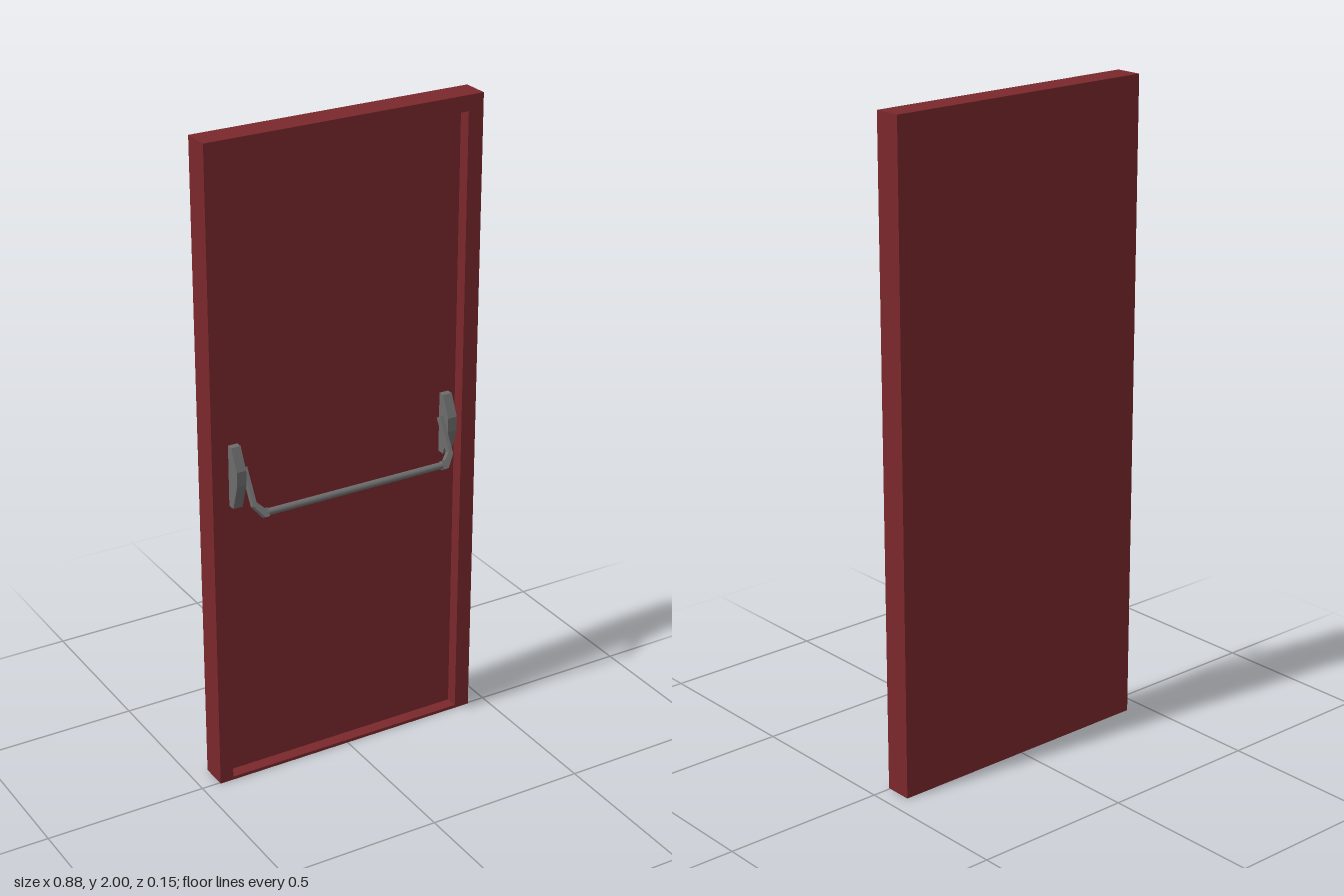
import * as THREE from 'three';

const RED = new THREE.MeshStandardMaterial({ color: 0x7a282c });
const STEEL = new THREE.MeshStandardMaterial({ color: 0x6c6c6c });
const CX = -0.003; // the opening sits slightly off the centre of the frame
const FACE = -0.03; // front plane of the door leaf

function add(parent, name, geometry, material, x = 0, y = 0, z = 0) {
  const mesh = new THREE.Mesh(geometry, material);
  mesh.name = name;
  mesh.position.set(x, y, z);
  parent.add(mesh);
  return mesh;
}

function polygon(points) {
  return new THREE.Shape(points.map(([x, y]) => new THREE.Vector2(x, y)));
}

function extrude(shape, depth) {
  return new THREE.ExtrudeGeometry(shape, { depth, bevelEnabled: false });
}

export function createModel() {
  const model = new THREE.Group();
  model.name = 'fireDoor';

  // Frame with its opening, closed behind by a back panel
  const outline = polygon([[-0.441, 0], [0.441, 0], [0.441, 2], [-0.441, 2]]);
  outline.holes.push(polygon([
    [CX - 0.395, 0.01], [CX - 0.395, 1.953], [CX + 0.395, 1.953], [CX + 0.395, 0.01],
  ]));
  add(model, 'frame', extrude(outline, 0.045), RED, 0, 0, -0.04);
  add(model, 'backPanel', new THREE.BoxGeometry(0.882, 2, 0.04), RED, 0, 1, -0.06);

  // Door leaf with a thin gap all round
  add(model, 'doorLeaf', new THREE.BoxGeometry(0.784, 1.937, 0.02), RED, CX, 0.9815, FACE - 0.01);

  // Hinge knuckles
  for (const y of [0.23, 0.99, 1.75]) {
    add(model, 'hinge', new THREE.CylinderGeometry(0.0065, 0.0065, 0.1, 12), STEEL,
      CX - 0.389, y, FACE + 0.003);
  }

  // Push bar
  const pushBar = new THREE.Group();
  pushBar.name = 'pushBar';
  pushBar.position.x = CX;
  model.add(pushBar);
  const bar = add(pushBar, 'bar', new THREE.CylinderGeometry(0.0105, 0.0105, 0.6, 20), STEEL, 0, 0.9, 0.059);
  bar.rotation.z = Math.PI / 2;

  // Mounting housing profile, drawn as [-z, y]
  const housing = extrude(polygon([
    [-FACE, 0.9], [-FACE, 1.09], [0.01, 1.09], [-0.02, 1.025], [-0.02, 0.98], [0.006, 0.9],
  ].reverse()), 0.03);
  housing.rotateY(Math.PI / 2);

  // Cranked arm profile, bar centre at the origin; it leans back to the door
  const armPoints = [
    [0.335, 0.14], [0.335, 0.025], [0.308, -0.013], [0.293, -0.013],
    [0.293, 0.013], [0.303, 0.013], [0.323, 0.035], [0.323, 0.14],
  ];

  for (const side of [-1, 1]) {
    add(pushBar, 'housing', housing, STEEL, side * 0.353 - 0.015, 0, 0);
    const shape = polygon(armPoints.map(([x, y]) => [side * x, y]));
    const arm = extrude(shape, 0.02).translate(0, 0, -0.01);
    add(pushBar, 'arm', arm, STEEL, 0, 0.9, 0.059).rotation.x = -Math.PI / 6;
    const pin = add(pushBar, 'pivotPin', new THREE.CylinderGeometry(0.007, 0.007, 0.02, 12), STEEL,
      side * 0.335, 1.0, 0.001);
    pin.rotation.z = Math.PI / 2;
  }

  return model;
}
